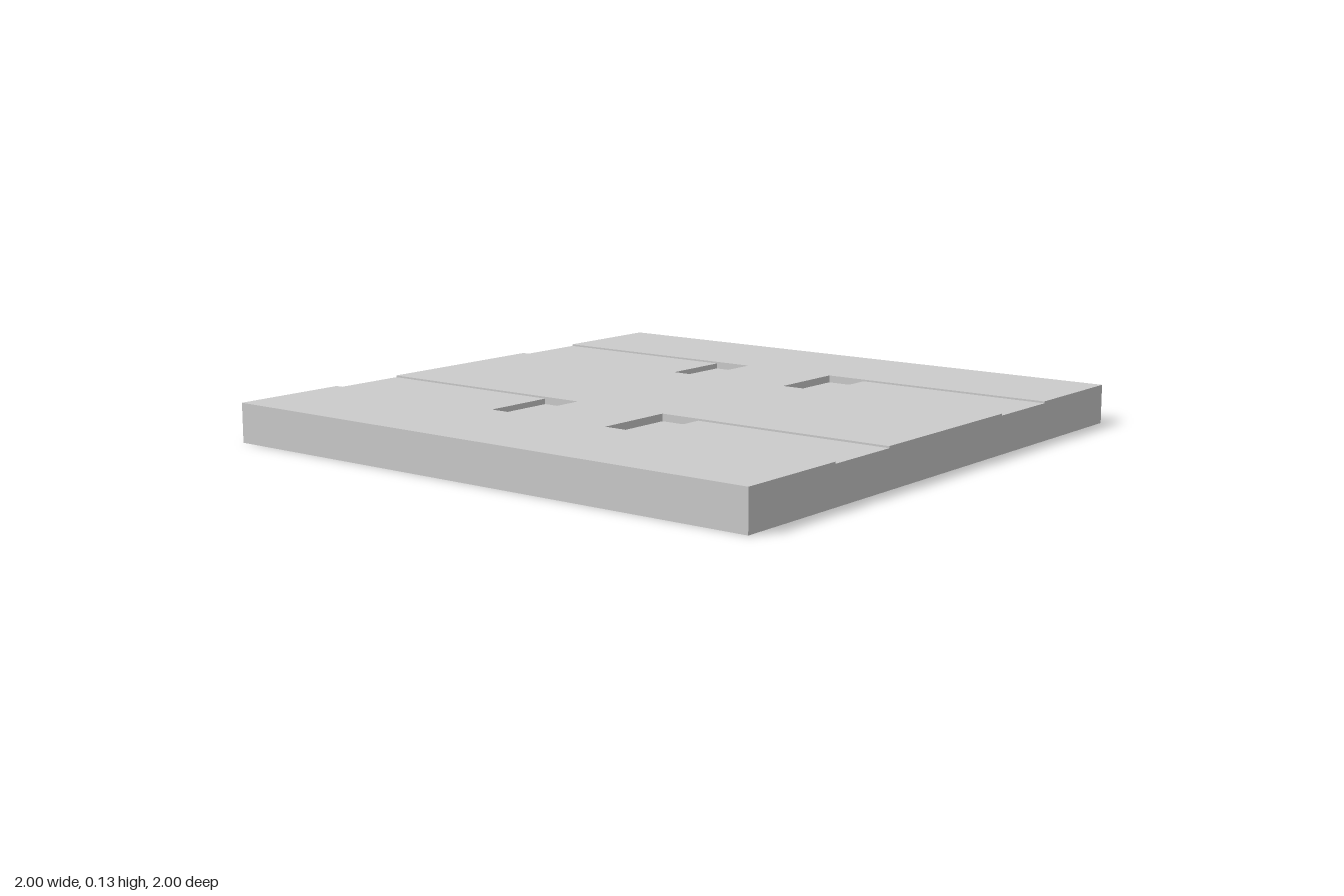
import * as THREE from 'three';

const TOP = 0.13, CHANNEL = 0.124, POCKET = 0.106; // levels of deck, channel floor, pocket floor
const X0 = 0.173, X1 = 0.313; // pocket extent across
const Z0 = 0.323, Z1 = 0.597; // channel and pocket extent along z

const material = new THREE.MeshStandardMaterial({ color: 0xcccccc, side: THREE.DoubleSide, flatShading: true });

function addMesh(parent, name, geometry) {
  const mesh = new THREE.Mesh(geometry, material);
  mesh.name = name;
  parent.add(mesh);
  return mesh;
}

// Flat four-cornered panel
function panel(parent, name, a, b, c, d) {
  const geometry = new THREE.BufferGeometry();
  geometry.setAttribute('position', new THREE.Float32BufferAttribute([...a, ...b, ...c, ...a, ...c, ...d], 3));
  geometry.computeVertexNormals();
  return addMesh(parent, name, geometry);
}

const outline = (points) => new THREE.ShapeGeometry(new THREE.Shape(points.map(([x, y]) => new THREE.Vector2(x, y))));

export function createModel() {
  const model = new THREE.Group();
  model.name = 'recessedSlab';

  // Deck: square sheet notched where the four channels run out to the sides
  const rightEdge = [[1, -1], [1, -Z1], [X0, -Z1], [X0, -Z0], [1, -Z0], [1, Z0], [X0, Z0], [X0, Z1], [1, Z1], [1, 1]];
  const leftEdge = rightEdge.map(([x, z]) => [-x, z]).reverse();
  const deck = outline([...rightEdge, ...leftEdge]);
  deck.rotateX(-Math.PI / 2).translate(0, TOP, 0);
  addMesh(model, 'deck', deck);

  // Skirt: open underneath, side walls dip at the channel mouths
  const sideProfile = [[-1, 0], [1, 0], [1, TOP], [Z1, TOP], [Z1, CHANNEL], [Z0, CHANNEL], [Z0, TOP],
    [-Z0, TOP], [-Z0, CHANNEL], [-Z1, CHANNEL], [-Z1, TOP], [-1, TOP]];
  for (const s of [1, -1]) {
    panel(model, s > 0 ? 'frontWall' : 'backWall', [-s, 0, s], [s, 0, s], [s, TOP, s], [-s, TOP, s]);
    const side = addMesh(model, s > 0 ? 'leftWall' : 'rightWall', outline(sideProfile));
    side.rotation.y = s * Math.PI / 2;
    side.position.x = s;
  }

  // Shallow channels, each with a deeper pocket at its inner end
  for (const sx of [1, -1]) {
    for (const sz of [1, -1]) {
      const recess = new THREE.Group();
      recess.name = `${sz > 0 ? 'front' : 'back'}${sx > 0 ? 'Left' : 'Right'}Recess`;
      model.add(recess);

      const quad = (name, ...corners) => {
        const p = corners.map(([x, y, z]) => [sx * x, y, sz * z]);
        if (sx * sz < 0) p.reverse(); // keep the faces turned outward when mirrored
        panel(recess, name, ...p);
      };
      const floor = (name, xa, xb, y) => quad(name, [xa, y, Z1], [xb, y, Z1], [xb, y, Z0], [xa, y, Z0]);
      const endWall = (name, x, ya, yb) => quad(name, [x, ya, Z1], [x, ya, Z0], [x, yb, Z0], [x, yb, Z1]);
      const sideWalls = (name, xa, xb, ya) => {
        quad(name, [xa, ya, Z0], [xb, ya, Z0], [xb, TOP, Z0], [xa, TOP, Z0]);
        quad(name, [xb, ya, Z1], [xa, ya, Z1], [xa, TOP, Z1], [xb, TOP, Z1]);
      };

      floor('channelFloor', X1, 1, CHANNEL);
      sideWalls('channelWall', X1, 1, CHANNEL);
      floor('pocketFloor', X0, X1, POCKET);
      sideWalls('pocketWall', X0, X1, POCKET);
      endWall('pocketInnerWall', X0, POCKET, TOP);
      quad('pocketOuterWall', [X1, POCKET, Z0], [X1, POCKET, Z1], [X1, CHANNEL, Z1], [X1, CHANNEL, Z0]);
    }
  }
  return model;
}
